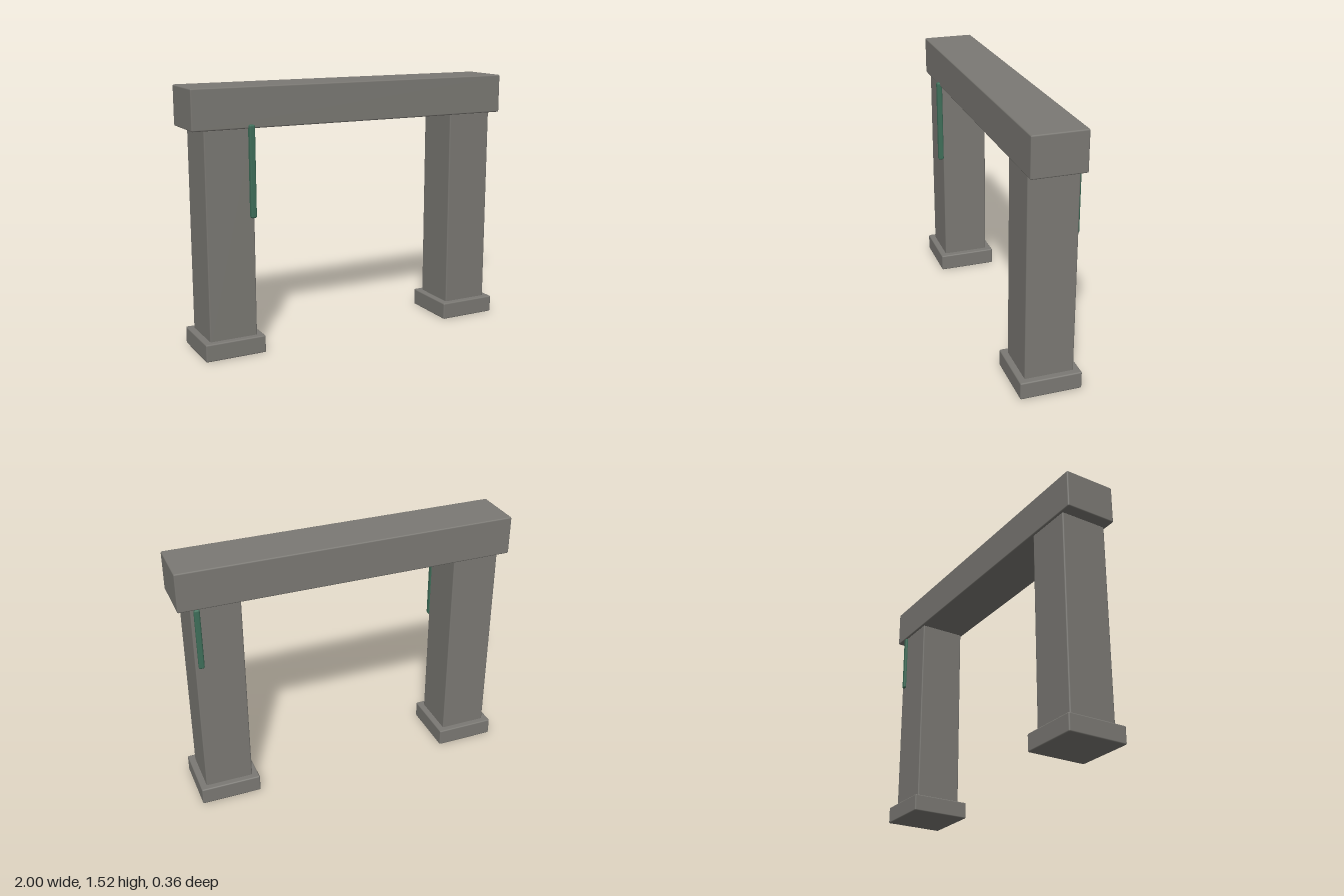
import * as THREE from 'three';
import { RoundedBoxGeometry } from 'three/addons/geometries/RoundedBoxGeometry.js';

export function createModel() {
  const model = new THREE.Group();
  model.name = 'stoneGate';

  const stone = new THREE.MeshStandardMaterial({ color: 0x7b7974 });
  stone.name = 'stone grey';
  const moss = new THREE.MeshStandardMaterial({ color: 0x3f6f5a });
  moss.name = 'vine green';

  // Bevelled block given by its extents on each axis
  function block(name, material, [x0, x1], [y0, y1], [z0, z1], bevel = 0.008) {
    const geometry = new RoundedBoxGeometry(x1 - x0, y1 - y0, z1 - z0, 1, bevel);
    const mesh = new THREE.Mesh(geometry, material);
    mesh.position.set((x0 + x1) / 2, (y0 + y1) / 2, (z0 + z1) / 2);
    mesh.name = name;
    return mesh;
  }

  // Lintel across the top
  model.add(block('lintel', stone, [-1, 1], [1.295, 1.525], [-0.155, 0.155]));

  // Two pillars on square feet
  for (const side of [-1, 1]) {
    const pillar = new THREE.Group();
    pillar.name = side > 0 ? 'leftPillar' : 'rightPillar';
    pillar.position.x = side * 0.788;
    pillar.add(
      block('foot', stone, [-0.18, 0.18], [0, 0.103], [-0.18, 0.18]),
      block('shaft', stone, [-0.142, 0.142], [0.09, 1.3], [-0.143, 0.143])
    );
    model.add(pillar);
  }

  // Hanging vines: one on the front, one on the back
  model.add(
    block('frontVine', moss, [-0.678, -0.643], [0.795, 1.317], [0.14, 0.175], 0.01),
    block('backVine', moss, [0.878, 0.912], [0.925, 1.295], [-0.157, -0.125], 0.01)
  );

  return model;
}
